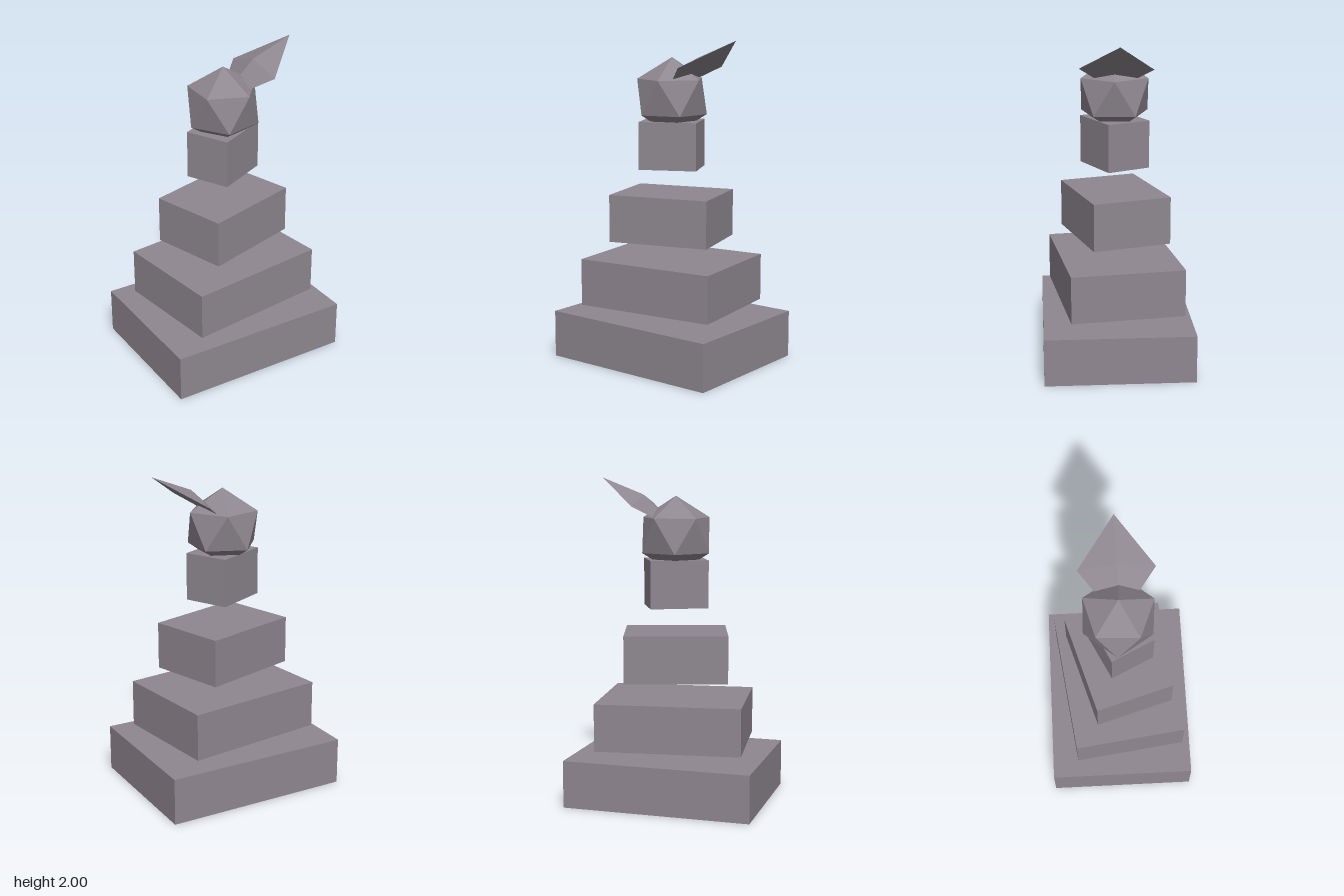
import * as THREE from 'three';
import { ConvexGeometry } from 'three/addons/geometries/ConvexGeometry.js';

export function createModel() {
  const model = new THREE.Group();
  model.name = 'stackedTower';
  const stone = new THREE.MeshStandardMaterial({ color: 0x8f8790 });
  stone.name = 'mauve grey stone';

  const add = (name, geometry) => {
    const mesh = new THREE.Mesh(geometry, stone);
    mesh.name = name;
    model.add(mesh);
    return mesh;
  };

  // Floating slabs, each smaller and twisted further: width, depth, centre height, twist
  const slabHeight = 0.293;
  const slabs = [
    [1.167, 0.912, 0.147, 0.06],
    [0.896, 0.7, 0.5, 0.19],
    [0.633, 0.493, 0.911, 0.347],
    [0.357, 0.283, 1.358, 0.514],
  ];
  slabs.forEach(([width, depth, y, twist], i) => {
    const slab = add(`slab${i + 1}`, new THREE.BoxGeometry(width, slabHeight, depth));
    slab.position.y = y;
    slab.rotation.y = twist;
  });

  // Faceted head, turned so that one vertex points straight up
  const golden = (1 + Math.sqrt(5)) / 2;
  const head = add('head', new THREE.IcosahedronGeometry(0.24, 0));
  head.rotation.z = -Math.atan(1 / golden);
  head.position.y = 1.652;

  // Tilted crest: a flat four-sided pyramid whose inner corner sits in the head
  const crestCorners = [
    [0.472, 2.0, -0.03], // outer tip
    [0.23, 1.842, 0.21], // front corner
    [-0.04, 1.67, 0.005], // inner corner
    [0.2, 1.831, -0.235], // back corner
    [0.212, 1.899, -0.012], // ridge peak
  ];
  add('crest', new ConvexGeometry(crestCorners.map((p) => new THREE.Vector3(...p))));

  return model;
}
